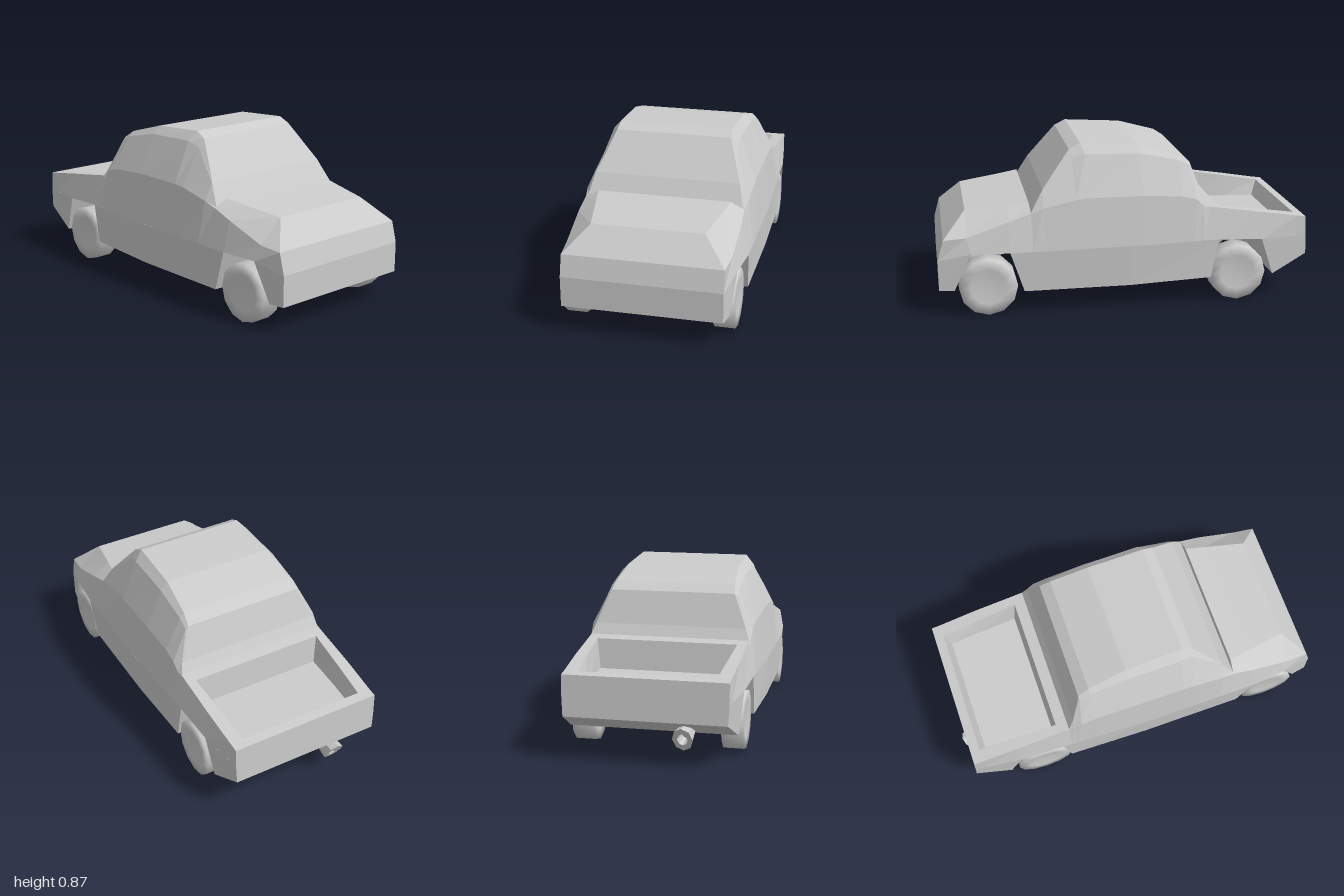
import * as THREE from 'three';

const material = new THREE.MeshStandardMaterial({ color: 0xcccccc, flatShading: true });
const smooth = new THREE.MeshStandardMaterial({ color: 0xcccccc });

function add(group, name, geometry, mat = material) {
  const mesh = new THREE.Mesh(geometry, mat);
  mesh.name = name;
  group.add(mesh);
  return mesh;
}

// Mirrored loft. Each section is the +x half of a ring, [x, y, z] from bottom to top,
// and the sections run from front to back.
function loft(sections) {
  const n = sections[0].length;
  const rings = sections.map(s => [...s, ...s.map(([x, y, z]) => [-x, y, z]).reverse()]);
  const pos = [];
  const quad = (a, b, c, d) => pos.push(...a, ...b, ...c, ...a, ...c, ...d);
  for (let i = 0; i < rings.length - 1; i++) {
    const f = rings[i], r = rings[i + 1];
    for (let j = 0; j < 2 * n; j++) {
      const k = (j + 1) % (2 * n);
      quad(f[j], r[j], r[k], f[k]);
    }
  }
  // end caps
  const f = rings[0], r = rings[rings.length - 1];
  for (let j = 0; j < n - 1; j++) {
    const m = 2 * n - 1 - j;
    quad(f[j], f[j + 1], f[m - 1], f[m]);
    quad(r[m], r[m - 1], r[j + 1], r[j]);
  }
  const g = new THREE.BufferGeometry();
  g.setAttribute('position', new THREE.Float32BufferAttribute(pos, 3));
  g.computeVertexNormals();
  return g;
}

const lathe = (points, sides) =>
  new THREE.LatheGeometry(points.map(p => new THREE.Vector2(...p)), sides);

export function createModel() {
  const model = new THREE.Group();
  model.name = 'pickupTruck';

  // Lower body: three blocks separated by the full-width wheel arches
  add(model, 'frontBumper', loft([
    [[0.41, 0.14, 1], [0.41, 0.3, 1]],
    [[0.425, 0.14, 0.92], [0.445, 0.34, 0.83]],
  ]));
  add(model, 'sills', loft([
    [[0.455, 0.125, 0.56], [0.465, 0.34, 0.63]],
    [[0.46, 0.125, 0], [0.47, 0.345, 0]],
    [[0.455, 0.14, -0.44], [0.455, 0.35, -0.48]],
  ]));
  add(model, 'rearBumper', loft([
    [[0.43, 0.13, -0.79], [0.445, 0.335, -0.72]],
    [[0.41, 0.23, -0.98], [0.415, 0.335, -0.975]],
  ]));

  // Hood: belt, fender crease, hood edge
  add(model, 'hood', loft([
    [[0.41, 0.3, 1], [0.41, 0.41, 0.97], [0.41, 0.41, 0.97]],
    [[0.445, 0.34, 0.83], [0.42, 0.42, 0.85], [0.29, 0.535, 0.85]],
    [[0.465, 0.34, 0.63], [0.425, 0.497, 0.63], [0.33, 0.56, 0.63]],
    [[0.466, 0.34, 0.51], [0.42, 0.535, 0.515], [0.35, 0.575, 0.52]],
  ]));

  // Cab: belt, shoulder, roof side, roof edge
  add(model, 'cab', loft([
    [[0.466, 0.34, 0.51], [0.42, 0.535, 0.515], [0.41, 0.54, 0.515], [0.41, 0.54, 0.515]],
    [[0.467, 0.341, 0.44], [0.43, 0.56, 0.45], [0.383, 0.65, 0.45], [0.38, 0.65, 0.45]],
    [[0.468, 0.342, 0.28], [0.435, 0.6, 0.28], [0.335, 0.8, 0.29], [0.305, 0.84, 0.3]],
    [[0.469, 0.343, 0.22], [0.435, 0.605, 0.22], [0.345, 0.82, 0.22], [0.3, 0.87, 0.24]],
    [[0.469, 0.345, -0.07], [0.435, 0.605, -0.07], [0.345, 0.81, -0.07], [0.305, 0.85, -0.07]],
    [[0.462, 0.348, -0.28], [0.43, 0.59, -0.28], [0.345, 0.765, -0.28], [0.32, 0.79, -0.28]],
    [[0.459, 0.349, -0.35], [0.43, 0.57, -0.36], [0.345, 0.735, -0.34], [0.33, 0.75, -0.34]],
    [[0.458, 0.35, -0.4], [0.428, 0.53, -0.4], [0.4, 0.58, -0.4], [0.395, 0.58, -0.4]],
    [[0.457, 0.35, -0.43], [0.425, 0.5, -0.43], [0.42, 0.525, -0.43], [0.42, 0.525, -0.43]],
  ]));

  // Cargo bed: belt, outer rail, inner rail, floor edge
  const frontRim = [0.37, 0.515, -0.49], rearRim = [0.345, 0.447, -0.92];
  const bedFront = [[0.455, 0.35, -0.48], [0.42, 0.515, -0.49], frontRim];
  const bedRear = [[0.421, 0.335, -0.92], [0.415, 0.447, -0.92], rearRim];
  add(model, 'cargoBed', loft([
    [[0.457, 0.35, -0.43], [0.42, 0.525, -0.43], [0.37, 0.525, -0.43], [0.37, 0.525, -0.43]],
    [...bedFront, frontRim],
    [...bedFront, [0.35, 0.36, -0.51]],
    [[0.445, 0.335, -0.72], [0.42, 0.48, -0.72], [0.357, 0.48, -0.72], [0.336, 0.36, -0.72]],
    [...bedRear, [0.32, 0.36, -0.89]],
    [...bedRear, rearRim],
    [[0.415, 0.335, -0.975], [0.415, 0.44, -0.97], [0.345, 0.44, -0.97], [0.345, 0.44, -0.97]],
  ]));

  // Wheels: smooth twelve-sided tyres with a shallow hub recess
  const wheel = lathe([
    [0, -0.045], [0.08, -0.045], [0.095, -0.055], [0.153, -0.053],
    [0.153, 0.053], [0.095, 0.055], [0.08, 0.045], [0, 0.045],
  ], 12).rotateZ(Math.PI / 2);
  for (const [end, z] of [['front', 0.745], ['rear', -0.59]]) {
    for (const [side, s] of [['Left', 1], ['Right', -1]]) {
      add(model, end + side + 'Wheel', wheel, smooth).position.set(s * 0.386, 0.153, z);
    }
  }

  // Exhaust: flared eight-sided pipe with a slanted, hollow end
  const pipe = lathe([
    [0, 0], [0.022, 0], [0.051, 0.285], [0.026, 0.285], [0.02, 0.2], [0, 0.2],
  ], 8).rotateX(-Math.PI / 2);
  const p = pipe.attributes.position;
  for (let i = 0; i < p.count; i++) {
    const y = p.getY(i) * 1.28;
    p.setY(i, y + p.getZ(i) * 0.05);
    p.setZ(i, p.getZ(i) - y * 0.54);
  }
  pipe.computeVertexNormals();
  add(model, 'exhaust', pipe).position.set(-0.185, 0.16, -0.68);

  return model;
}
